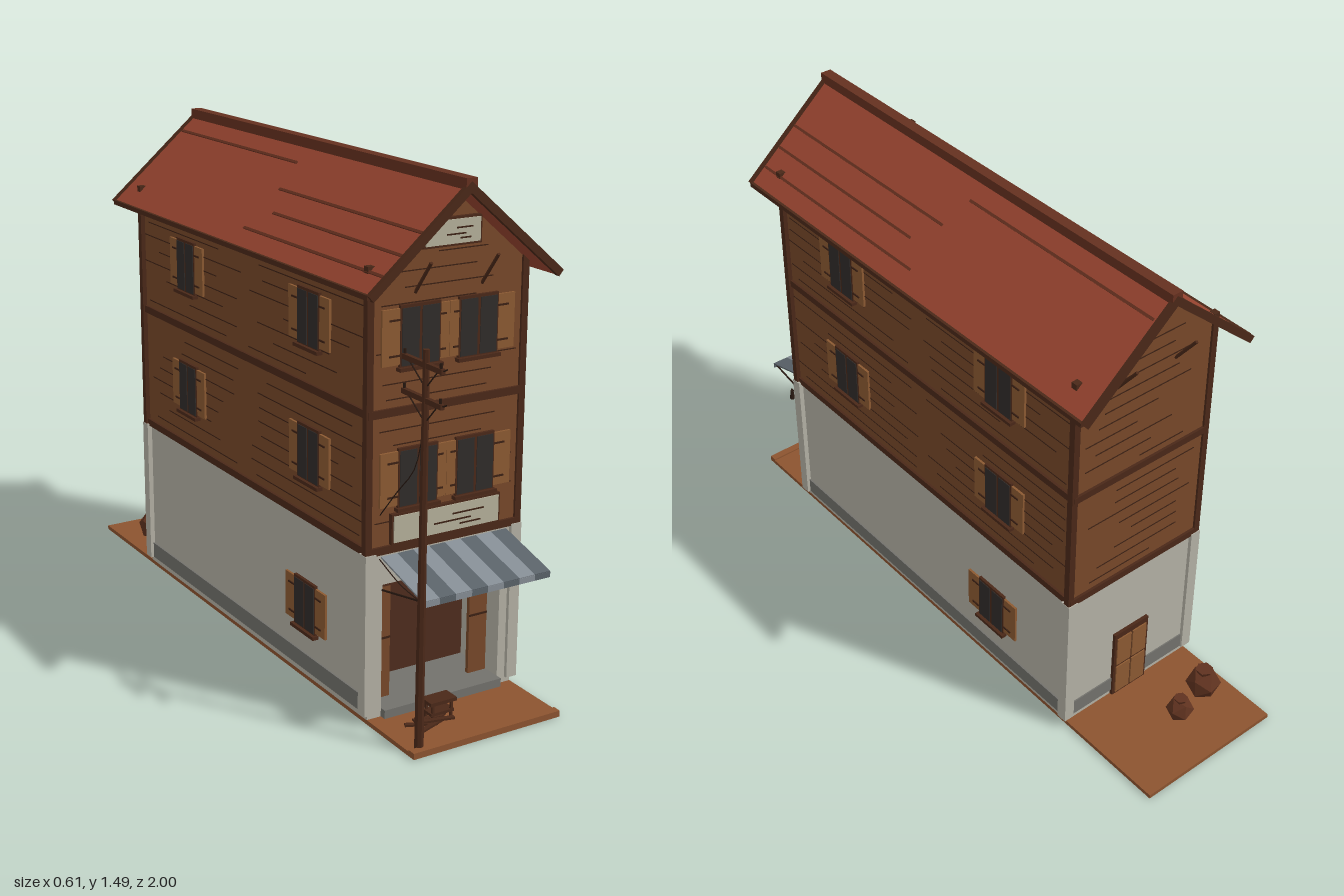
import * as THREE from 'three';

const C = {
  stone: 0xb3b0a4, stoneDark: 0x72716c, wood: 0x774829, trim: 0x4a2818, line: 0x3c2114, shutter: 0x8c5a32,
  glass: 0x302c2a, roof: 0x994530, roofDark: 0x65301f, earth: 0x8c532f, sign: 0xb5b09a,
  awnA: 0x858d94, awnB: 0x5a6269, dark: 0x2a1a12, inside: 0x4e2c1d, pot: 0x5f321f,
};
const mats = {};
const mat = (c) => (mats[c] ??= new THREE.MeshStandardMaterial({ color: c, flatShading: true, side: THREE.DoubleSide }));

function add(parent, name, geo, color) {
  const m = new THREE.Mesh(geo, mat(color));
  m.name = name;
  parent.add(m);
  return m;
}
function box(parent, name, color, w, h, d, x, y, z) {
  const m = add(parent, name, new THREE.BoxGeometry(w, h, d), color);
  m.position.set(x, y, z);
  return m;
}
// box given by its extents
const span = (p, n, c, x0, x1, y0, y1, z0, z1) =>
  box(p, n, c, x1 - x0, y1 - y0, z1 - z0, (x0 + x1) / 2, (y0 + y1) / 2, (z0 + z1) / 2);
// outline in x,y pushed from z0 to z1
function prism(parent, name, color, pts, z0, z1) {
  const s = new THREE.Shape(pts.map(([x, y]) => new THREE.Vector2(x, y)));
  const g = new THREE.ExtrudeGeometry(s, { depth: z1 - z0, bevelEnabled: false });
  return add(parent, name, g.translate(0, 0, z0), color);
}
// thin rod between two points
function rod(parent, name, color, a, b, r0, r1 = r0, sides = 5) {
  const A = new THREE.Vector3(...a), B = new THREE.Vector3(...b);
  const m = add(parent, name, new THREE.CylinderGeometry(r1, r0, A.distanceTo(B), sides), color);
  m.position.copy(A).add(B).multiplyScalar(0.5);
  m.quaternion.setFromUnitVectors(new THREE.Vector3(0, 1, 0), B.sub(A).normalize());
  return m;
}
function cable(parent, name, pts, r) {
  const curve = new THREE.CatmullRomCurve3(pts.map((p) => new THREE.Vector3(...p)));
  return add(parent, name, new THREE.TubeGeometry(curve, 10, r, 4), C.dark);
}
let seed = 7;
const rand = () => (seed = (seed * 16807) % 2147483647) / 2147483647;

// shuttered window facing +z, origin at its centre on the wall
function windowUnit(w, h, left, right) {
  const g = new THREE.Group();
  g.name = 'window';
  box(g, 'windowFrame', C.trim, w, h, 0.012, 0, 0, 0.003);
  for (const s of [-1, 1]) box(g, 'windowPane', C.glass, w / 2 - 0.009, h - 0.016, 0.006, s * w / 4, 0, 0.008);
  box(g, 'windowSill', C.trim, w + 0.012, 0.01, 0.022, 0, -h / 2, 0.008);
  for (const [s, sw] of [[-1, left], [1, right]]) {
    const x = s * (w / 2 + sw / 2);
    box(g, 'shutter', C.shutter, sw, h - 0.02, 0.008, x, 0.002, 0.003);
    for (const y of [-0.28, 0.28]) box(g, 'shutterHinge', C.line, sw * 0.6, 0.005, 0.004, x - s * sw * 0.2, y * h, 0.008);
  }
  return g;
}
function place(parent, g, x, y, z, turn = 0) {
  g.position.set(x, y, z);
  g.rotation.y = turn;
  parent.add(g);
}

const ZF = 0.70, ZB = -0.64, XW = 0.24;
const roofY = (x) => 1.475 - 0.86 * Math.abs(x);

function lowerFloor(p) {
  span(p, 'stoneBody', C.stone, -XW, XW, 0.012, 0.49, ZB, 0.52);
  const o = 0.195;
  prism(p, 'shopFrontWall', C.stone, [[-XW, 0.012], [-o, 0.012], [-o, 0.4], [o, 0.4], [o, 0.012],
    [XW, 0.012], [XW, 0.49], [-XW, 0.49]], 0.52, ZF);
  span(p, 'shopBackWall', C.inside, -o, o, 0.02, 0.4, 0.518, 0.524);
  span(p, 'shopCeiling', C.inside, -o, o, 0.394, 0.4, 0.52, ZF);
  span(p, 'shopStep', C.stoneDark, -o, o, 0.012, 0.038, 0.52, 0.72);
  for (const s of [-1, 1]) {
    box(p, 'slidingDoor', C.wood, 0.06, 0.355, 0.012, s * 0.163, 0.215, 0.64);
    box(p, 'doorRail', C.line, 0.06, 0.006, 0.016, s * 0.163, 0.215, 0.64);
    box(p, 'plinth', C.stoneDark, 0.01, 0.05, ZF - ZB - 0.03, s * XW, 0.055, (ZF + ZB) / 2);
    for (const z of [ZF - 0.006, ZB + 0.006]) box(p, 'stonePilaster', C.stone, 0.034, 0.465, 0.034, s * 0.238, 0.262, z);
    place(p, windowUnit(0.115, 0.155, 0.052, 0.052), s * XW, 0.232, s > 0 ? -0.3 : 0.38, s * Math.PI / 2);
  }
  span(p, 'backPlinth', C.stoneDark, -XW, XW, 0.03, 0.08, ZB - 0.004, ZB + 0.01);
  // back door
  span(p, 'backDoorFrame', C.trim, -0.066, 0.066, 0.012, 0.262, ZB - 0.01, ZB);
  for (const s of [-1, 1]) for (const y of [0.075, 0.19])
    box(p, 'backDoorPanel', C.shutter, 0.054, 0.105, 0.008, s * 0.03, y, ZB - 0.01);
}

function upperFloors(p) {
  prism(p, 'timberWalls', C.wood, [[-XW, 0.49], [XW, 0.49], [XW, roofY(XW) - 0.015], [0, 1.46],
    [-XW, roofY(XW) - 0.015]], ZB, ZF);
  for (const y of [0.5, 0.88]) box(p, 'floorBeam', C.trim, 0.496, 0.022, ZF - ZB + 0.016, 0, y, (ZF + ZB) / 2);
  for (const s of [-1, 1]) for (const z of [ZF - 0.003, ZB + 0.003])
    box(p, 'cornerPost', C.trim, 0.02, 0.785, 0.02, s * 0.244, 0.882, z);
  // cracks between the boards
  for (let y = 0.535; y < 1.42; y += 0.042) {
    if (Math.abs(y - 0.88) < 0.015) continue;
    const half = Math.min(XW - 0.01, (1.45 - y) / 0.86 - 0.01);
    for (const z of [ZF, ZB]) {
      const len = half * (0.7 + rand() * 0.9), dx = (rand() - 0.5) * (2 * half - len);
      box(p, 'boardGap', C.line, len, 0.003, 0.003, dx, y, z);
    }
    if (y < 1.2) for (const s of [-1, 1]) for (const zc of [0.37, -0.31]) {
      const len = 0.3 + rand() * 0.35;
      box(p, 'boardGap', C.line, 0.003, 0.003, len, s * XW, y, zc + (rand() - 0.5) * (0.64 - len));
    }
  }
  for (const y of [0.693, 1.078]) {
    for (const s of [-1, 1]) {
      place(p, windowUnit(0.125, 0.17, s < 0 ? 0.055 : 0.029, s < 0 ? 0.029 : 0.055), s * 0.092, y, ZF);
      for (const z of [0.4, -0.33]) place(p, windowUnit(0.115, 0.165, 0.05, 0.05), s * XW, y - 0.005, z, s * Math.PI / 2);
    }
  }
  // sign boards with weathering cracks
  for (const [w, h, y] of [[0.17, 0.064, 1.34], [0.34, 0.074, 0.556]]) {
    box(p, 'signFrame', C.trim, w + 0.012, h + 0.012, 0.014, 0, y, ZF + 0.006);
    box(p, 'signBoard', C.sign, w, h, 0.012, 0, y, ZF + 0.01);
    [[0.2, 0.15, 0.3], [0.05, -0.1, 0.35], [0.22, -0.28, 0.2]].forEach(([x, dy, l]) =>
      box(p, 'signCrack', C.line, w * l, 0.004, 0.003, w * x, y + h * dy, ZF + 0.0165));
  }
  // struts under both gable overhangs
  for (const s of [-1, 1]) for (const [z, d] of [[ZF, 0.07], [ZB, -0.07]])
    rod(p, 'gableStrut', C.trim, [s * 0.105, 1.19, z], [s * 0.105, 1.28, z + d], 0.005);
}

function roof(p) {
  const chevron = (e, t, lift) => [[-e, roofY(e) + lift], [0, 1.475 + lift], [e, roofY(e) + lift],
    [e - t * 0.6, roofY(e) + lift - t * 0.7], [0, 1.475 + lift - t * 1.25], [-e + t * 0.6, roofY(e) + lift - t * 0.7]];
  prism(p, 'roofSlabs', C.roof, chevron(0.298, 0.018, 0), -0.72, 0.78);
  for (const z of [-0.733, 0.775]) prism(p, 'bargeBoard', C.trim, chevron(0.303, 0.024, 0.006), z, z + 0.015);
  span(p, 'ridgeCap', C.roofDark, -0.017, 0.017, 1.45, 1.49, -0.73, 0.79);
  const tilt = Math.atan(0.86);
  for (const s of [-1, 1]) {
    span(p, 'eaveEdge', C.trim, s * 0.298 - 0.005, s * 0.298 + 0.005, 1.208, 1.222, -0.72, 0.78);
    for (const [x, z0, z1] of [[0.135, 0.05, 0.77], [0.195, 0.12, 0.77], [0.25, 0.05, 0.77], [0.06, -0.71, 0.02]]) {
      const m = box(p, 'roofBatten', C.roofDark, 0.008, 0.006, z1 - z0, s * x, roofY(x) + 0.001, (z0 + z1) / 2);
      m.rotation.z = -s * tilt;
    }
  }
}

function awning(p) {
  const n = 8, w = 0.41 / n, drop = 0.055, run = 0.2;
  for (let i = 0; i < n; i++) {
    const x = -0.2 + w * (i + 0.5), c = i % 2 ? C.awnB : C.awnA;
    const m = box(p, 'awningStripe', c, w, 0.005, Math.hypot(drop, run), x, 0.452, ZF + run / 2);
    m.rotation.x = Math.atan2(drop, run);
    box(p, 'awningValance', c, w, 0.016, 0.003, x, 0.417, 0.9);
  }
  for (const x of [-0.195, 0.205]) rod(p, 'awningArm', C.dark, [x, 0.385, ZF], [x, 0.424, 0.9], 0.003);
  // small hanging lantern
  rod(p, 'lanternHook', C.dark, [0.232, 0.415, ZF], [0.232, 0.41, 0.765], 0.002);
  rod(p, 'lantern', C.dark, [0.232, 0.372, 0.763], [0.232, 0.405, 0.763], 0.008, 0.005, 6);
}

function utilityPole(p) {
  const x = -0.205, z = 0.9;
  rod(p, 'pole', C.trim, [x, 0.01, z], [x, 1.1, z], 0.013, 0.009, 7);
  for (const y of [1.06, 0.97]) {
    span(p, 'crossArm', C.trim, x - 0.006, x + 0.006, y - 0.007, y + 0.007, 0.8, 0.975);
    for (const dz of [-0.095, 0.065]) {
      rod(p, 'insulator', C.dark, [x, y, z + dz], [x, y + 0.02, z + dz], 0.004);
      rod(p, 'armBrace', C.dark, [x, y - 0.06, z], [x, y - 0.005, z + dz * 0.8], 0.002);
    }
    cable(p, 'looseWire', [[x, y, 0.96], [x, y + 0.004, 0.98], [x - 0.005, y + 0.012, 0.998]], 0.002);
  }
  cable(p, 'houseCable', [[x, 0.92, z], [x, 0.78, 0.86], [x, 0.69, 0.78], [x, 0.6, ZF]], 0.0018);
  cable(p, 'stayCable', [[x, 0.425, z], [x, 0.44, 0.8], [x, 0.475, ZF]], 0.002);
}

function yard(p) {
  span(p, 'groundSlab', C.earth, -XW, XW, 0, 0.013, -1, 0.93);
  span(p, 'kerb', C.earth, -XW, XW, 0, 0.018, 0.905, 0.93);
  // stool and loose planks before the shop
  box(p, 'stoolSeat', C.trim, 0.085, 0.01, 0.05, -0.07, 0.075, 0.795);
  box(p, 'stoolShelf', C.trim, 0.075, 0.008, 0.04, -0.07, 0.042, 0.795);
  for (const dx of [-0.03, 0.03]) for (const dz of [-0.016, 0.016])
    box(p, 'stoolLeg', C.trim, 0.007, 0.06, 0.007, -0.07 + dx, 0.043, 0.795 + dz);
  for (let i = 0; i < 4; i++) {
    const m = box(p, 'plank', C.trim, 0.09, 0.006, 0.014, -0.13 + i * 0.012, 0.017 + i * 0.006, 0.8 + (i % 2) * 0.03);
    m.rotation.y = (rand() - 0.5) * 0.8;
  }
  // lumpy sacks behind the house
  for (const [x, z, r] of [[-0.15, -0.815, 0.053], [-0.03, -0.84, 0.042]]) {
    const m = add(p, 'sack', new THREE.IcosahedronGeometry(r, 0), C.pot);
    m.position.set(x, 0.013 + r * 0.9, z);
    m.rotation.set(0.3, x * 9, 0.2);
    rod(p, 'sackNeck', C.pot, [x, 0.013 + r * 1.6, z], [x, 0.013 + r * 1.95, z], r * 0.35, r * 0.5, 6);
  }
}

export function createModel() {
  const house = new THREE.Group();
  house.name = 'townHouse';
  for (const [name, build] of Object.entries({ yard, lowerFloor, upperFloors, roof, awning, utilityPole })) {
    const g = new THREE.Group();
    g.name = name;
    build(g);
    house.add(g);
  }
  return house;
}
